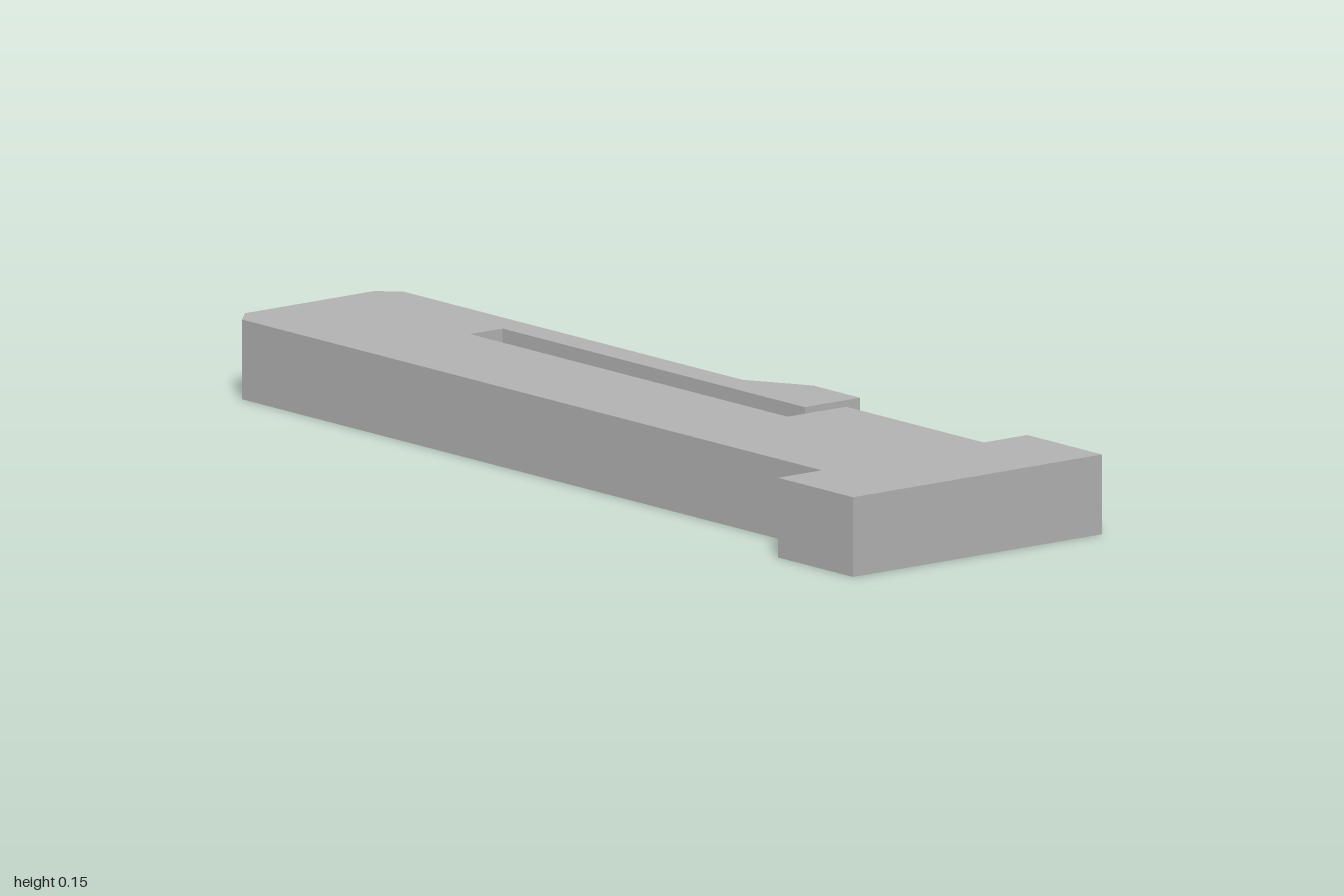
import * as THREE from 'three';

export function createModel() {
  const group = new THREE.Group();
  group.name = 'latchPin';
  const grey = new THREE.MeshStandardMaterial({ color: 0xb2b2b2 });
  grey.name = 'plain grey';

  const height = 0.154, body = 0.197, head = 0.303, headX = 0.776, chamfer = 0.04;

  // Plan outline, counter-clockwise; the second coordinate points to the back
  const outline = [
    // chamfered end and front edge
    [-1, -body + chamfer], [-1 + chamfer, -body], [headX, -body],
    // wide head
    [headX, -head], [1, -head], [1, head], [headX, head], [headX, body],
    // slot behind the spring arm
    [0.364, body], [0.364, 0.055], [-0.587, 0.055], [-0.587, 0.134],
    // arm tip with its sloped catch
    [0.318, 0.134], [0.318, 0.268], [0.178, 0.268], [0.054, body],
    // back edge
    [-1 + chamfer, body], [-1, body - chamfer],
  ];
  const shape = new THREE.Shape(outline.map(([x, y]) => new THREE.Vector2(x, y)));
  const geometry = new THREE.ExtrudeGeometry(shape, { depth: height, bevelEnabled: false });
  geometry.rotateX(-Math.PI / 2);

  const pin = new THREE.Mesh(geometry, grey);
  pin.name = 'pinWithSpringArm';
  group.add(pin);
  return group;
}
